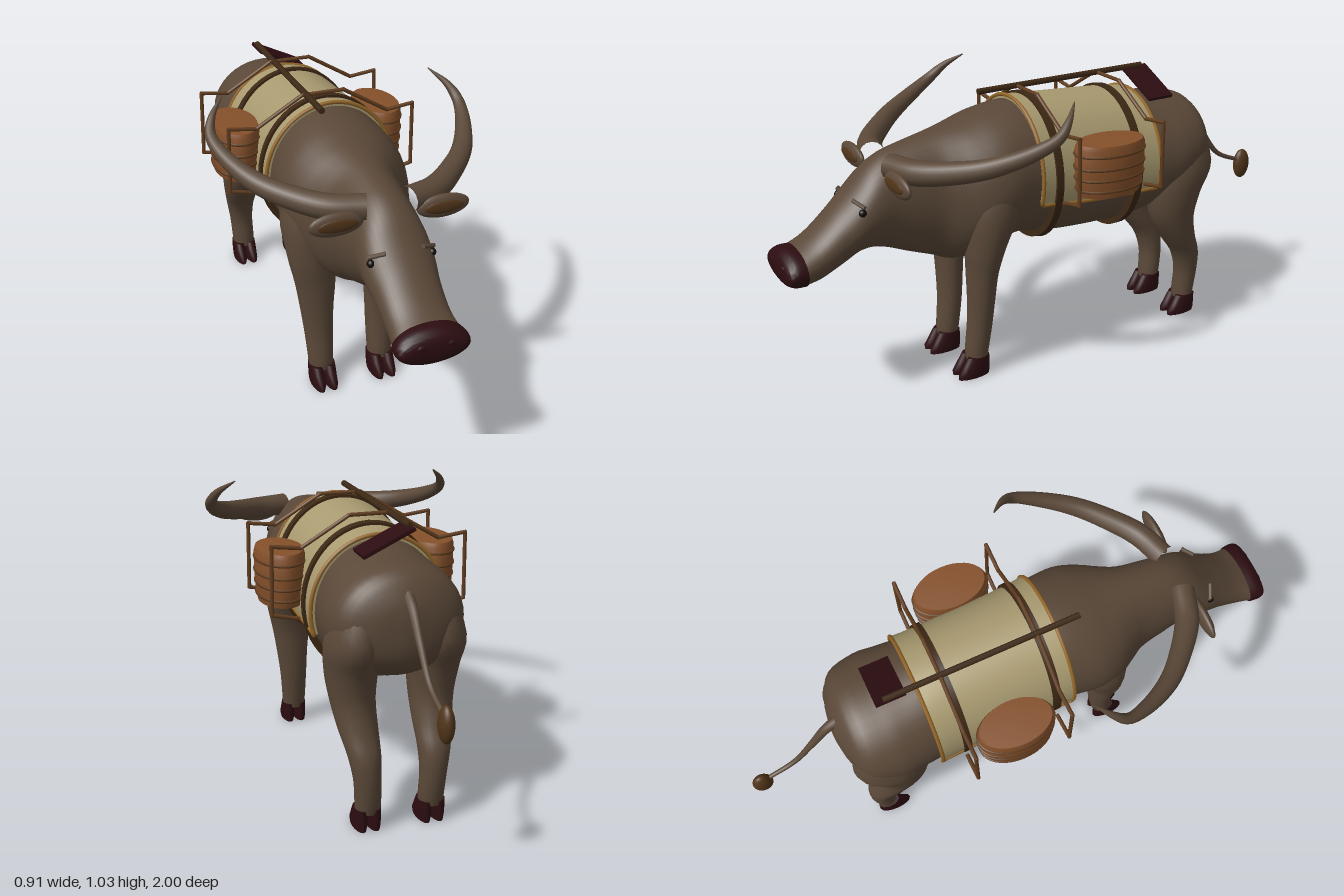
import * as THREE from 'three';
import { toCreasedNormals } from 'three/addons/utils/BufferGeometryUtils.js';

const paint = (name, color, side = THREE.FrontSide) => {
  const m = new THREE.MeshStandardMaterial({ color, side });
  m.name = name;
  return m;
};

// Smooth a table of section rows, adding in-between rows
function smoothRows(rows, steps) {
  const out = [], n = rows.length - 1;
  for (let i = 0; i < n; i++) {
    const p = [rows[Math.max(i - 1, 0)], rows[i], rows[i + 1], rows[Math.min(i + 2, n)]];
    for (let k = 0; k < steps; k++) {
      const t = k / steps;
      out.push(p[1].map((b, c) => {
        const [a, , d, e] = p.map(r => r[c]);
        return b + 0.5 * t * (d - a + t * (2 * a - 5 * b + 4 * d - e + t * (3 * (b - d) + e - a)));
      }));
    }
  }
  out.push(rows[n]);
  return out;
}

// Skin a list of point rings, closed and capped or left as an open sheet
function skin(rings, closed = true, crease = 0.9) {
  const n = rings[0].length, pos = rings.flat(2), index = [], last = rings.length - 1;
  for (let i = 0; i < last; i++) {
    for (let j = 0; j < (closed ? n : n - 1); j++) {
      const k = (j + 1) % n, a = i * n, b = a + n;
      index.push(a + j, a + k, b + j, a + k, b + k, b + j);
    }
  }
  if (closed) {
    for (const i of [0, last]) {
      const c = pos.length / 3;
      pos.push(...[0, 1, 2].map(d => rings[i].reduce((s, p) => s + p[d], 0) / n));
      for (let j = 0; j < n; j++) {
        const k = (j + 1) % n;
        if (i === 0) index.push(c, k, j);
        else index.push(c, i * n + j, i * n + k);
      }
    }
  }
  const g = new THREE.BufferGeometry();
  g.setAttribute('position', new THREE.Float32BufferAttribute(pos, 3));
  g.setIndex(index);
  return toCreasedNormals(g, crease);
}

const ring = (n, f) => Array.from({ length: n }, (_, j) => f(Math.cos(j / n * 2 * Math.PI), Math.sin(j / n * 2 * Math.PI)));
// Rows [z, top, bottom, half width]
const loftZ = rows => skin(rows.map(([z, t, b, w]) =>
  ring(40, (c, s) => [w * c, (t + b) / 2 + (t - b) / 2 * s, z])));
// Rows [y, x, z, radius x, radius z], from top to bottom
const loftY = (rows, side, n = 24) => skin(rows.map(([y, x, z, rx, rz]) =>
  ring(n, (c, s) => [side * x + rx * c, y, z + rz * s])));

const bodyRows = smoothRows([
  [-0.668, 0.74, 0.64, 0.03], [-0.65, 0.80, 0.58, 0.12], [-0.6, 0.868, 0.53, 0.2],
  [-0.5, 0.888, 0.49, 0.23], [-0.42, 0.9, 0.46, 0.225], [-0.3, 0.92, 0.436, 0.213],
  [-0.1, 0.935, 0.44, 0.212], [0.05, 0.945, 0.455, 0.212], [0.15, 0.95, 0.475, 0.218],
  [0.25, 0.935, 0.46, 0.228], [0.33, 0.915, 0.43, 0.212], [0.4, 0.9, 0.425, 0.172],
  [0.46, 0.888, 0.45, 0.14], [0.55, 0.868, 0.485, 0.125], [0.62, 0.848, 0.515, 0.117],
  [0.68, 0.81, 0.533, 0.118], [0.74, 0.75, 0.53, 0.116], [0.8, 0.692, 0.5, 0.107],
  [0.88, 0.622, 0.467, 0.105], [0.945, 0.582, 0.463, 0.114]], 4);

// Point on the body surface at z and angle, pushed out by an offset
function onBody(z, angle, offset) {
  const i = Math.max(1, bodyRows.findIndex(r => r[0] >= z)), a = bodyRows[i - 1], b = bodyRows[i];
  const f = (z - a[0]) / (b[0] - a[0]);
  const [t, u, w] = [1, 2, 3].map(c => a[c] + f * (b[c] - a[c]));
  return [(w + offset) * Math.cos(angle), (t + u) / 2 + ((t - u) / 2 + offset) * Math.sin(angle), z];
}
// Sheet around the body, rows [z, offset], from angle a0 to a1
const wrap = (rows, a0, a1) => skin(rows.map(([z, o]) =>
  Array.from({ length: 49 }, (_, j) => onBody(z, a0 + (a1 - a0) * j / 48, o))), false, 0.7);

function taperTube(points, radii, seg, radial = 14) {
  const curve = new THREE.CatmullRomCurve3(points.map(p => new THREE.Vector3(...p)));
  const g = new THREE.TubeGeometry(curve, seg, 1, radial), p = g.attributes.position, v = new THREE.Vector3();
  for (let i = 0; i < p.count; i++) {
    const u = Math.floor(i / (radial + 1)) / seg, c = curve.getPointAt(u);
    const x = u * (radii.length - 1), k = Math.min(Math.floor(x), radii.length - 2);
    v.fromBufferAttribute(p, i).sub(c).multiplyScalar(THREE.MathUtils.lerp(radii[k], radii[k + 1], x - k)).add(c);
    p.setXYZ(i, v.x, v.y, v.z);
  }
  return g;
}

export function createModel() {
  const model = new THREE.Group();
  model.name = 'packBuffalo';
  const hide = paint('hide brown', 0x5a4838);
  const hoofMat = paint('dark maroon', 0x2c0d11);
  const cloth = paint('blanket cream', 0xa89a70, THREE.DoubleSide);
  const gold = paint('trim gold', 0x96682a);
  const leather = paint('strap leather', 0x3d2815, THREE.DoubleSide);
  const wicker = paint('wicker', 0x85502a);
  const cane = paint('cane', 0x603c1e);
  const tan = paint('tuft brown', 0x51351a);
  const black = paint('eye black', 0x120c0c);

  const add = (name, geometry, material) => {
    const m = new THREE.Mesh(geometry, material);
    m.name = name;
    model.add(m);
    return m;
  };
  const blob = (name, material, [x, y, z], [rx, ry, rz]) => {
    add(name, new THREE.SphereGeometry(1, 24, 16).scale(rx, ry, rz), material).position.set(x, y, z);
  };
  const bar = (name, material, a, b, r) => {
    const p = new THREE.Vector3(...a), d = new THREE.Vector3(...b).sub(p);
    const m = add(name, new THREE.CylinderGeometry(r, r, d.length() + r, 8), material);
    m.position.copy(p).addScaledVector(d, 0.5);
    m.quaternion.setFromUnitVectors(new THREE.Vector3(0, 1, 0), d.normalize());
  };

  // Body, neck and head in one, with a dark muzzle
  add('body', loftZ(bodyRows), hide);
  add('muzzle', loftZ(smoothRows([[0.935, 0.587, 0.46, 0.117], [0.965, 0.586, 0.463, 0.12],
    [0.985, 0.575, 0.473, 0.116], [0.995, 0.563, 0.485, 0.104], [1, 0.55, 0.498, 0.085]], 3)), hoofMat);

  // Tail
  add('tail', taperTube([[0, 0.8, -0.63], [0, 0.765, -0.68], [0, 0.68, -0.745], [0, 0.58, -0.83], [0, 0.53, -0.94]],
    [0.02, 0.015, 0.011, 0.009, 0.008], 30, 10), hide);
  blob('tailTuft', tan, [0, 0.51, -0.962], [0.024, 0.06, 0.036]);

  const frontLeg = smoothRows([[0.78, 0.14, 0.26, 0.05, 0.07], [0.64, 0.148, 0.28, 0.082, 0.095],
    [0.5, 0.138, 0.312, 0.08, 0.07], [0.4, 0.125, 0.322, 0.072, 0.053], [0.3, 0.12, 0.325, 0.06, 0.047],
    [0.2, 0.115, 0.33, 0.051, 0.044], [0.1, 0.112, 0.342, 0.045, 0.042], [0.06, 0.112, 0.345, 0.042, 0.038]], 4);
  const hindLeg = smoothRows([[0.8, 0.12, -0.53, 0.06, 0.08], [0.64, 0.14, -0.53, 0.09, 0.125],
    [0.53, 0.14, -0.5, 0.086, 0.11], [0.43, 0.135, -0.5, 0.075, 0.09], [0.34, 0.128, -0.537, 0.066, 0.07],
    [0.26, 0.12, -0.582, 0.055, 0.055], [0.18, 0.114, -0.597, 0.046, 0.045], [0.1, 0.11, -0.592, 0.044, 0.042],
    [0.06, 0.11, -0.588, 0.042, 0.038]], 4);

  for (const s of [1, -1]) {
    const side = s > 0 ? 'left' : 'right';
    // Legs and cloven hooves
    for (const [name, rows, z] of [['FrontLeg', frontLeg, 0.348], ['HindLeg', hindLeg, -0.586]]) {
      add(side + name, loftY(rows, s), hide);
      for (const toe of [0.088, 0.134]) {
        add(side + name + 'Hoof', loftY([[0.076, toe, z, 0.023, 0.041], [0.05, toe, z + 0.008, 0.024, 0.05],
          [0.015, toe, z + 0.02, 0.0235, 0.062], [0, toe, z + 0.021, 0.021, 0.06]], s, 16), hoofMat);
      }
    }
    // Horn sweeping out and back
    add(side + 'Horn', taperTube([[0.07, 0.822, 0.62], [0.18, 0.823, 0.58], [0.28, 0.838, 0.5], [0.36, 0.862, 0.41],
      [0.42, 0.905, 0.29], [0.438, 0.945, 0.21], [0.42, 0.985, 0.165], [0.37, 1.03, 0.11]].map(([x, y, z]) => [s * x, y, z]),
      [0.042, 0.042, 0.038, 0.033, 0.026, 0.017, 0.002], 48), hide);
    // Ear, eye, brow and nostril
    blob(side + 'Ear', hide, [s * 0.178, 0.794, 0.645], [0.09, 0.04, 0.018]);
    blob(side + 'InnerEar', tan, [s * 0.176, 0.795, 0.659], [0.066, 0.021, 0.007]);
    blob(side + 'Eye', black, [s * 0.102, 0.693, 0.737], [0.012, 0.013, 0.013]);
    bar(side + 'Brow', hide, [s * 0.065, 0.727, 0.752], [s * 0.106, 0.713, 0.733], 0.007);
    blob(side + 'Nostril', hoofMat, [s * 0.048, 0.541, 0.993], [0.02, 0.012, 0.01]);

    // Oval basket with woven bands and a lid
    const basket = new THREE.Group();
    basket.name = side + 'Basket';
    basket.position.set(s * 0.27, 0.655, -0.105);
    basket.scale.x = 0.62;
    const profile = [[0, 0], [0.118, 0], [0.128, 0.03], [0.134, 0.1], [0.134, 0.17], [0.127, 0.186], [0, 0.192]];
    const tub = new THREE.Mesh(toCreasedNormals(new THREE.LatheGeometry(
      profile.map(p => new THREE.Vector2(...p)), 36), 0.7), wicker);
    tub.name = 'tub';
    basket.add(tub);
    for (const [y, r] of [[0.025, 0.128], [0.065, 0.132], [0.105, 0.135], [0.15, 0.135]]) {
      const band = new THREE.Mesh(new THREE.TorusGeometry(r, 0.005, 6, 36).rotateX(Math.PI / 2), cane);
      band.name = 'band';
      band.position.y = y;
      basket.add(band);
    }
    model.add(basket);

    // Bent cane carrying frames before and behind the basket
    for (const z of [0.065, -0.278]) {
      const path = [[0, 0.975], [0.075, 0.975], [0.24, 0.876], [0.338, 0.888], [0.34, 0.655], [0.25, 0.636]]
        .map(([x, y]) => [s * x, y, z]);
      for (let i = 1; i < path.length; i++) bar(side + 'CarryFrame', cane, path[i - 1], path[i], 0.007);
    }
  }

  // Saddle blanket with a gold border
  const a0 = -0.32, a1 = Math.PI + 0.32, z0 = -0.36, z1 = 0.135, lift = 0.014;
  const zs = Array.from({ length: 13 }, (_, i) => z0 + (z1 - z0) * i / 12);
  add('blanket', wrap([[z0, 0], ...zs.map(z => [z, lift]), [z1, 0]], a0, a1), cloth);
  const border = [];
  for (let i = 0; i <= 40; i++) border.push([z1, a0 + (a1 - a0) * i / 40]);
  for (let i = 11; i > 0; i--) border.push([zs[i], a1]);
  for (let i = 40; i >= 0; i--) border.push([z0, a0 + (a1 - a0) * i / 40]);
  for (let i = 1; i < 12; i++) border.push([zs[i], a0]);
  const borderCurve = new THREE.CatmullRomCurve3(
    border.map(([z, a]) => new THREE.Vector3(...onBody(z, a, lift))), true);
  add('blanketTrim', new THREE.TubeGeometry(borderCurve, 220, 0.007, 6, true), gold);

  // Girth straps
  for (const z of [0.07, -0.265]) {
    add('girthStrap', wrap([[z - 0.014, 0], [z - 0.014, 0.023], [z + 0.014, 0.023], [z + 0.014, 0]],
      -Math.PI / 2, Math.PI * 1.5), leather);
  }

  // Long-handled hoe lying along the back
  bar('hoeHandle', leather, [-0.062, 0.976, 0.215], [-0.062, 0.976, -0.47], 0.011);
  const blade = add('hoeBlade', new THREE.BoxGeometry(0.19, 0.012, 0.105), hoofMat);
  blade.position.set(0.014, 0.93, -0.452);
  blade.rotation.z = -0.44;

  return model;
}
